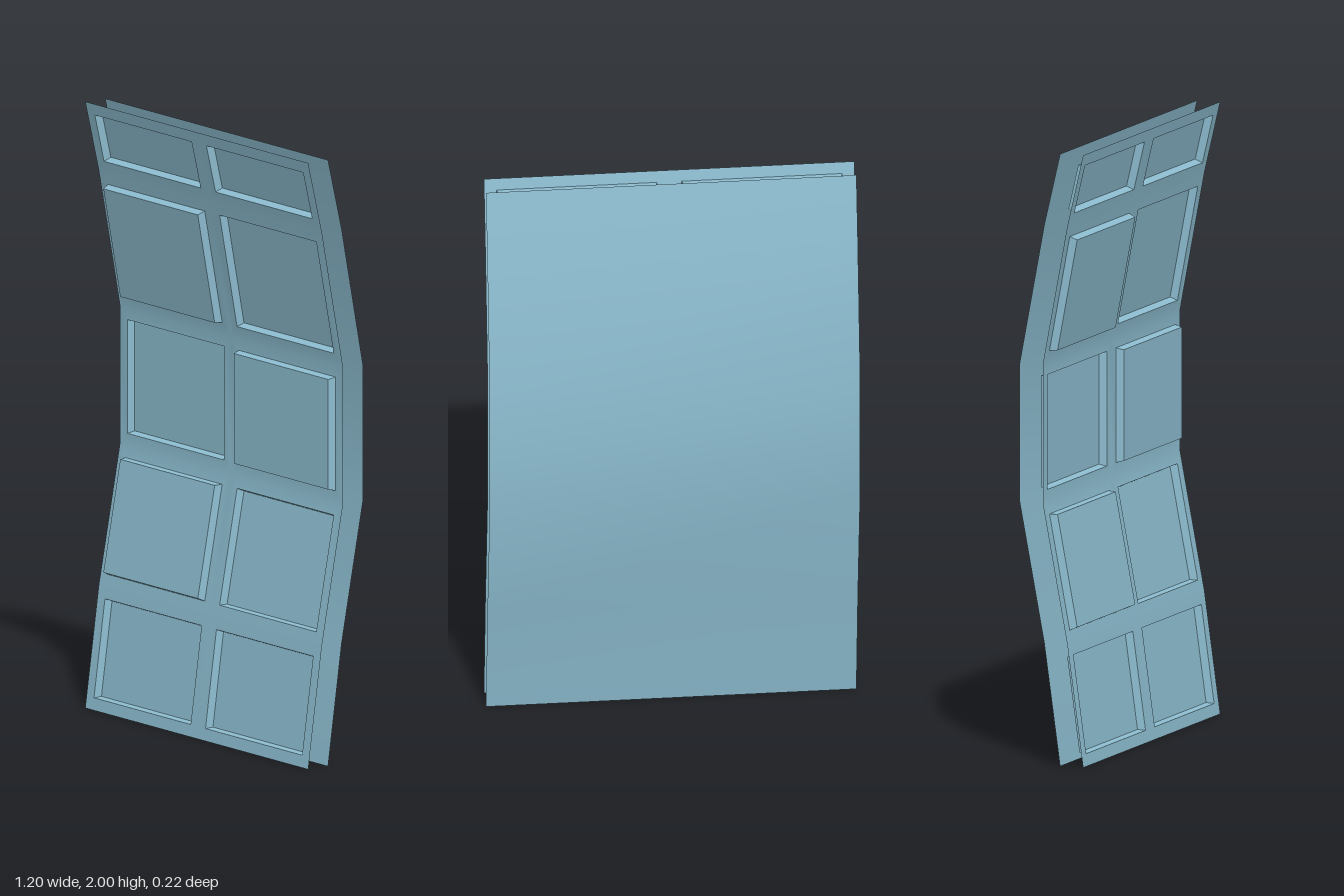
import * as THREE from 'three';
import { mergeVertices } from 'three/addons/utils/BufferGeometryUtils.js';

// Bend lines of the curved shell as [y, z], bottom to top
const PROFILE = [[0, 0.11], [0.4, 0.055], [0.855, -0.03], [1.31, -0.03], [1.765, 0.055], [2, 0.11]];
const HALF_WIDTH = 0.6;
const MARGIN = 0.04; // frame width around each panel
const DEPTH = 0.025; // panel relief
const TAPER = 0.006; // slant of the panel walls
const GAP = 0.08; // distance from front frame to back sheet

const material = new THREE.MeshStandardMaterial({ color: 0x8cbccf, side: THREE.DoubleSide });

// Geometry from quads whose corners run counter-clockwise; smooth shares corners
function quadGeometry(quads, smooth) {
  const points = quads.flatMap(([a, b, c, d]) => [a, b, c, a, c, d]);
  let geometry = new THREE.BufferGeometry().setFromPoints(points);
  if (smooth) geometry = mergeVertices(geometry, 1e-4);
  geometry.computeVertexNormals();
  return geometry;
}

// Quads joining two rings of four corners
function ringQuads(outer, inner) {
  return outer.map((corner, k) => {
    const n = (k + 1) % 4;
    return [corner, outer[n], inner[n], inner[k]];
  });
}

function addMesh(group, name, quads, smooth) {
  const mesh = new THREE.Mesh(quadGeometry(quads, smooth), material);
  mesh.name = name;
  group.add(mesh);
}

export function createModel() {
  const group = new THREE.Group();
  group.name = 'curvedPanelDoor';
  const frame = [];
  const back = [];

  for (let row = 0; row < PROFILE.length - 1; row++) {
    const [y0, z0] = PROFILE[row];
    const [y1, z1] = PROFILE[row + 1];
    const up = new THREE.Vector3(0, y1 - y0, z1 - z0);
    const length = up.length();
    up.normalize();
    const normal = new THREE.Vector3(0, -up.z, up.y);

    for (let col = 0; col < 2; col++) {
      const left = (col - 1) * HALF_WIDTH;
      // Rectangle in the plane of this bay, shrunk by inset and moved along the normal
      const rectangle = (inset, offset) => [[0, 0], [1, 0], [1, 1], [0, 1]].map(([u, v]) =>
        new THREE.Vector3(left + (u ? HALF_WIDTH - inset : inset), y0, z0)
          .addScaledVector(up, v ? length - inset : inset)
          .addScaledVector(normal, offset));

      // Middle bays alternate raised and sunken; the end bays are all sunken
      const raised = row > 0 && row < 4 && (row + col) % 2 === 1;
      const opening = rectangle(MARGIN, 0);
      const face = rectangle(MARGIN + TAPER, raised ? DEPTH : -DEPTH);
      frame.push(...ringQuads(rectangle(0, 0), opening));
      addMesh(group, raised ? 'raisedPanel' : 'sunkenPanel', [...ringQuads(opening, face), face], false);
    }

    // Back sheet strip, facing away from the frame
    const corner = (x, y, z) => new THREE.Vector3(x, y, z - GAP);
    back.push([
      corner(HALF_WIDTH, y0, z0), corner(-HALF_WIDTH, y0, z0),
      corner(-HALF_WIDTH, y1, z1), corner(HALF_WIDTH, y1, z1),
    ]);
  }

  addMesh(group, 'frontFrame', frame, true);
  addMesh(group, 'backSheet', back, true);
  return group;
}
